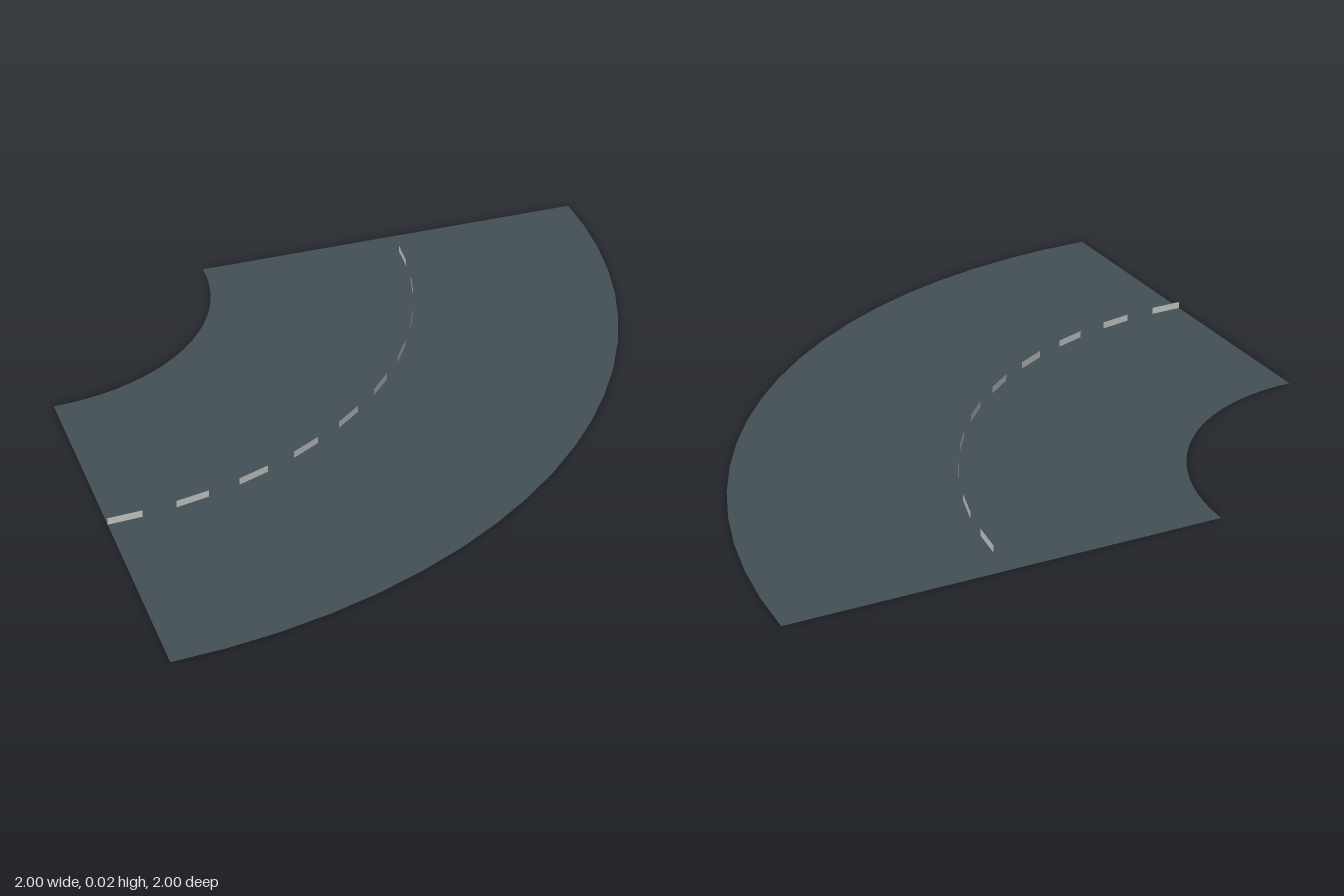
import * as THREE from 'three';

const INNER = 2 / 3, OUTER = 2, MIDDLE = 4 / 3;
const DASHES = 10, DASH_HEIGHT = 0.022;
const STEP = Math.PI / 2 / DASHES;

export function createModel() {
  const model = new THREE.Group();
  model.name = 'roadCurve';

  const asphalt = new THREE.MeshStandardMaterial({ color: 0x444f57, side: THREE.DoubleSide });
  const paint = new THREE.MeshStandardMaterial({ color: 0xcccccc, side: THREE.DoubleSide, flatShading: true });

  // Flat quarter-ring road surface, turning about the back right corner
  const surface = new THREE.RingGeometry(INNER, OUTER, DASHES * 2, 1, -Math.PI / 2, Math.PI / 2);
  surface.rotateX(-Math.PI / 2).translate(-1, 0, -1);
  const road = new THREE.Mesh(surface, asphalt);
  road.name = 'roadSurface';
  model.add(road);

  // Thin upright dashes along the centre line, each half a step long
  const centreLine = new THREE.Group();
  centreLine.name = 'centreLine';
  for (let i = 0; i < DASHES; i++) {
    const strip = new THREE.CylinderGeometry(MIDDLE, MIDDLE, DASH_HEIGHT, 1, 1, true, i * STEP, STEP / 2);
    strip.translate(-1, DASH_HEIGHT / 2, -1);
    const dash = new THREE.Mesh(strip, paint);
    dash.name = `dash${i + 1}`;
    centreLine.add(dash);
  }
  model.add(centreLine);

  return model;
}
